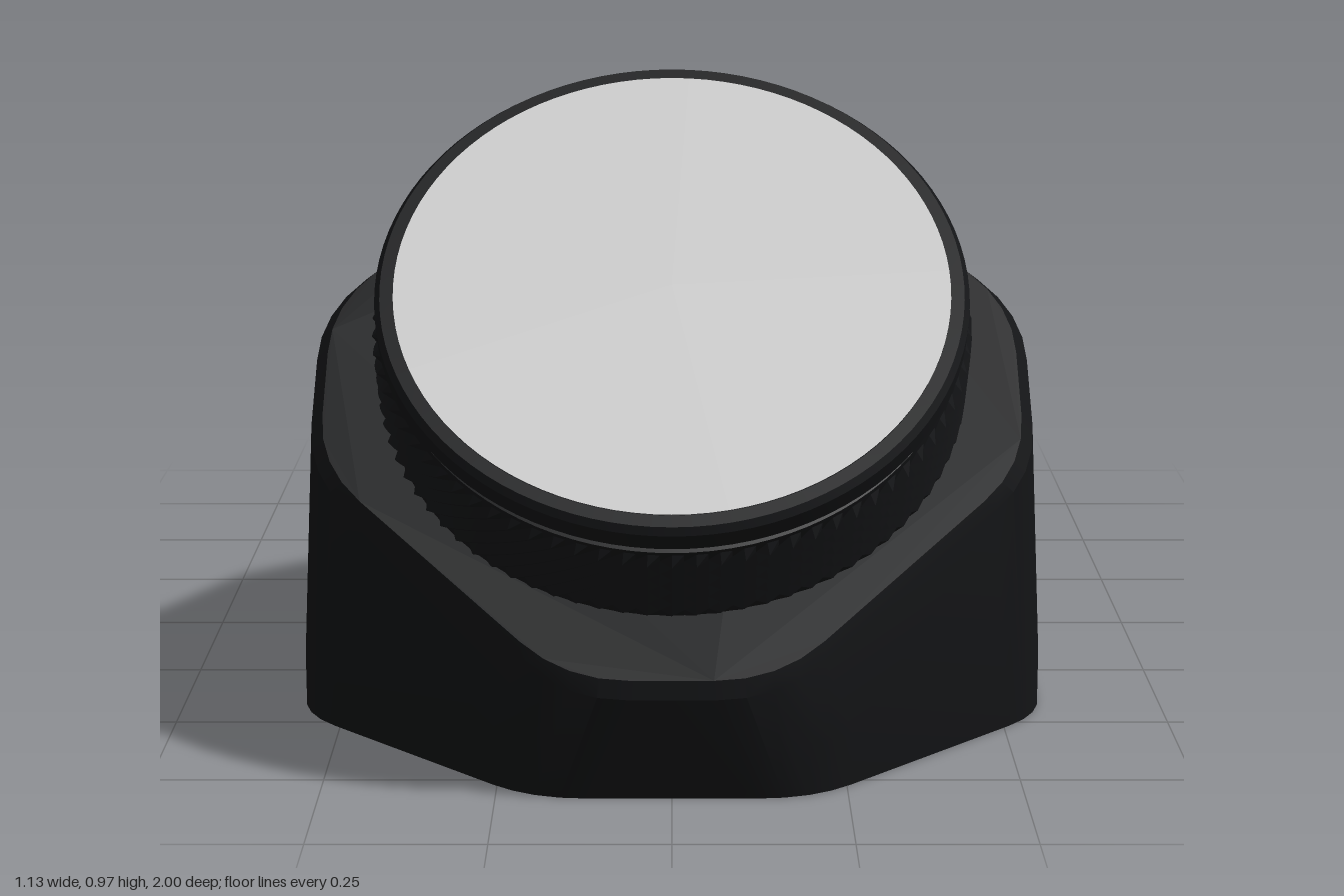
import * as THREE from 'three';
import { toCreasedNormals } from 'three/addons/utils/BufferGeometryUtils.js';
import { ConvexGeometry } from 'three/addons/geometries/ConvexGeometry.js';

const TILT = THREE.MathUtils.degToRad(40);
const material = (color, extra = {}) => new THREE.MeshStandardMaterial({ color, ...extra });

function mesh(name, geometry, mat) {
  const m = new THREE.Mesh(geometry, mat);
  m.name = name;
  return m;
}

function creased(geometry, angle = 0.45) {
  const g = geometry.index ? geometry.toNonIndexed() : geometry;
  g.deleteAttribute('normal');
  return toCreasedNormals(g, angle);
}

// Closed polygon with each corner replaced by a short curve
function roundCorners(corners, cut, steps = 4) {
  const out = [];
  corners.forEach((c, i) => {
    const prev = corners[(i + corners.length - 1) % corners.length];
    const next = corners[(i + 1) % corners.length];
    const a = c.clone().add(prev.clone().sub(c).setLength(cut));
    const b = c.clone().add(next.clone().sub(c).setLength(cut));
    out.push(...new THREE.QuadraticBezierCurve(a, c, b).getPoints(steps));
  });
  return out;
}

// Corners of an outline mirrored in x, given the right half from +v to -v
function mirrored(half) {
  const right = half.map(([x, v]) => new THREE.Vector2(x, v));
  const left = half.map(([x, v]) => new THREE.Vector2(-x, v)).reverse();
  return [...right, ...left];
}

// Housing: sloping chamfered top blended into an upright chamfered base
function housing(mat) {
  const points = [];
  const c = Math.cos(TILT), s = Math.sin(TILT);
  const ring = (size, edge, h) => {
    const corners = mirrored([[edge, size], [size, edge], [size, -edge], [edge, -size]]);
    for (const p of roundCorners(corners, 0.09)) {
      points.push(new THREE.Vector3(p.x, 0.5275 + s * p.y + c * h, 0.505 - c * p.y + s * h));
    }
  };
  ring(0.512, 0.148, 0);
  ring(0.53, 0.15, -0.022);

  const foot = mirrored([[0.2, 0.825], [0.565, 0.46], [0.565, -0.09], [0.29, -0.365]]);
  for (const p of roundCorners(foot, 0.08)) {
    points.push(new THREE.Vector3(p.x, 0, p.y));
    points.push(new THREE.Vector3(p.x, 0.085, p.y > 0.7 ? p.y + 0.025 : p.y));
  }
  // Raised ridge around the back
  for (const side of [-1, 1]) {
    for (const [x, y, z] of [[0.14, 0.36, -0.38], [0.13, 0.29, -0.425], [0.3, 0.24, -0.375]]) {
      points.push(new THREE.Vector3(side * x, y, z));
    }
  }
  return mesh('housing', creased(new ConvexGeometry(points), 0.35), mat);
}

// Round control head, built around local y with its face at y = 0
function controlHead(mat) {
  const group = new THREE.Group();
  group.name = 'controlHead';
  group.position.set(0, 0.71, 0.68);
  group.rotation.x = TILT;

  const profile = [
    [0, -0.235], [0.4, -0.235], [0.4, -0.21], [0.413, -0.207], [0.413, -0.06], [0.403, -0.058],
    [0.403, -0.045], [0.42, -0.04], [0.42, -0.01], [0.412, 0], [0.393, 0], [0.39, -0.004], [0, -0.004],
  ].map(([r, y]) => new THREE.Vector2(r, y));
  group.add(mesh('headCore', creased(new THREE.LatheGeometry(profile, 96)), mat));

  // Diamond knurling: every other grid vertex is pushed outward
  const segs = 160, rows = 10;
  const knurl = new THREE.CylinderGeometry(1, 1, 0.148, segs, rows, true);
  const pos = knurl.attributes.position;
  for (let k = 0; k < pos.count; k++) {
    const row = Math.floor(k / (segs + 1)), col = k % (segs + 1);
    const r = (row + col) % 2 && row > 0 && row < rows ? 0.428 : 0.417;
    pos.setX(k, pos.getX(k) * r);
    pos.setZ(k, pos.getZ(k) * r);
  }
  const grip = mesh('knurledGrip', knurl, material(0x141517, { flatShading: true, side: THREE.DoubleSide }));
  grip.position.y = -0.134;
  group.add(grip);

  const disc = mesh('faceDisc', new THREE.CircleGeometry(0.393, 96), material(0xcccccc));
  disc.rotation.x = -Math.PI / 2;
  disc.position.y = 0.002;
  group.add(disc);
  return group;
}

// Elongated bevelled button on the sloping back panel
function backButton() {
  const corners = mirrored([[0.03, 0.1], [0.07, 0.06], [0.07, -0.06], [0.03, -0.1]]);
  const geometry = new THREE.ExtrudeGeometry(new THREE.Shape(roundCorners(corners, 0.02, 2)), {
    depth: 0.06, bevelThickness: 0.025, bevelSize: 0.022, bevelSegments: 2,
  });
  const button = mesh('backButton', creased(geometry, 0.6), material(0xd2ab62));
  button.position.set(0, 0.59, -0.16);
  button.lookAt(0, 0.59 + 0.689, -0.16 - 0.725);
  return button;
}

// Cable leaving the back through a two-step strain relief
function cable(mat) {
  const group = new THREE.Group();
  group.name = 'cable';
  group.position.y = 0.175;
  const plug = mesh('cablePlug', new THREE.BoxGeometry(0.19, 0.106, 0.24), mat);
  plug.position.z = -0.44;
  group.add(plug);
  for (const [name, r, z0, z1] of [['strainRelief', 0.053, -0.5, -0.645], ['cord', 0.028, -0.6, -1]]) {
    const part = mesh(name, new THREE.CylinderGeometry(r, r, z0 - z1, 24), mat);
    part.rotation.x = Math.PI / 2;
    part.position.z = (z0 + z1) / 2;
    group.add(part);
  }
  return group;
}

export function createModel() {
  const model = new THREE.Group();
  model.name = 'desktopController';
  const black = material(0x141517);
  model.add(housing(black), controlHead(black), backButton(), cable(black));
  return model;
}
